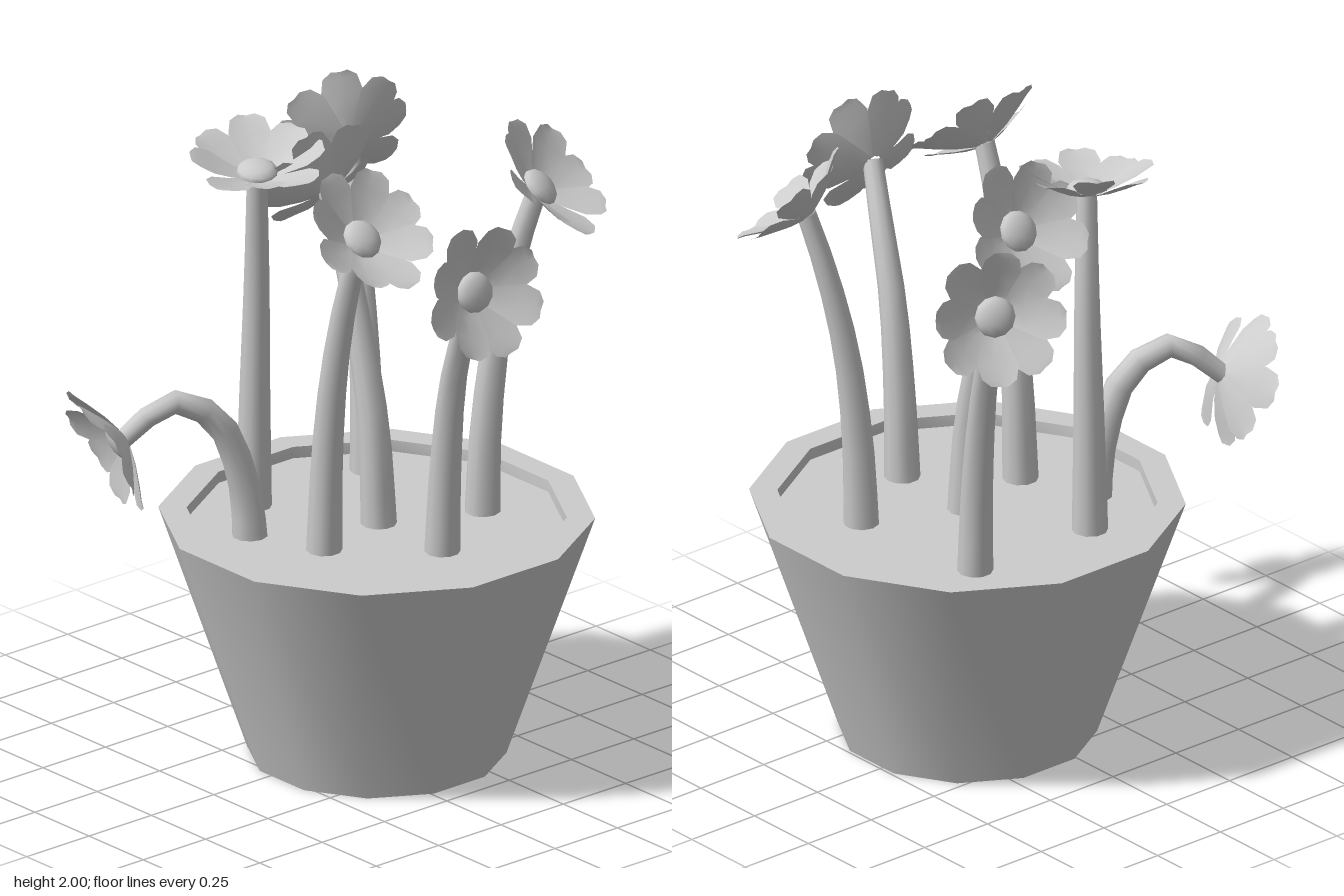
import * as THREE from 'three';
import { toCreasedNormals } from 'three/addons/utils/BufferGeometryUtils.js';

const solid = new THREE.MeshStandardMaterial({ color: 0xcccccc });
const thin = new THREE.MeshStandardMaterial({ color: 0xcccccc, side: THREE.DoubleSide });
const V = (a) => new THREE.Vector3(...a);

function mesh(name, geometry, material = solid) {
  const m = new THREE.Mesh(geometry, material);
  m.name = name;
  return m;
}

// Twelve-sided tapered pot, open underneath, with a rim and soil; flat sides face the axes
function makePot() {
  const profile = [[0.394, 0], [0.663, 0.775], [0.577, 0.775], [0.577, 0.738], [0, 0.738]]
    .map(([r, y]) => new THREE.Vector2(r, y));
  const pot = mesh('pot', toCreasedNormals(new THREE.LatheGeometry(profile, 12, Math.PI / 12), 0.7), thin);
  pot.position.set(0.05, 0, -0.11);
  return pot;
}

// Tapered stem: each ring of a tube is scaled about its own centre
function makeStem(points) {
  const rings = 8, sides = 10, curve = new THREE.CatmullRomCurve3(points.map(V));
  const geo = new THREE.TubeGeometry(curve, rings, 1, sides);
  const pos = geo.attributes.position, p = new THREE.Vector3();
  for (let i = 0; i <= rings; i++) {
    const centre = curve.getPointAt(i / rings);
    const radius = THREE.MathUtils.lerp(0.056, 0.031, i / rings);
    for (let j = 0; j <= sides; j++) {
      const k = i * (sides + 1) + j;
      p.fromBufferAttribute(pos, k).sub(centre).multiplyScalar(radius).add(centre);
      pos.setXYZ(k, p.x, p.y, p.z);
    }
  }
  return mesh('stem', geo, thin);
}

// Petal cross-sections: distance from centre, half width, height
const petalRows = [[0.02, 0.016, -0.01], [0.085, 0.042, 0.012], [0.145, 0.065, 0.04],
  [0.187, 0.054, 0.062], [0.208, 0.026, 0.07]];

function petalGeometry() {
  const vertices = [], index = [];
  petalRows.forEach(([r, w, h], i) => {
    for (let j = -1; j <= 1; j++) vertices.push(r, h + Math.abs(j) * w * 0.2, -j * w);
    if (i === 0) return;
    for (let j = 0; j < 2; j++) {
      const a = (i - 1) * 3 + j, b = i * 3 + j;
      index.push(a, b, b + 1, a, b + 1, a + 1);
    }
  });
  const geo = new THREE.BufferGeometry();
  geo.setAttribute('position', new THREE.Float32BufferAttribute(vertices, 3));
  geo.setIndex(index);
  geo.computeVertexNormals();
  return geo;
}

// Eight cupped petals, alternately raised, around a low dome
function makeHead(centre, facing) {
  const head = new THREE.Group();
  head.name = 'flowerHead';
  const petal = petalGeometry();
  for (let i = 0; i < 8; i++) {
    const m = mesh('petal', petal, thin);
    m.rotation.set(0, (i + 0.3) * Math.PI / 4, (i % 2 ? 0.05 : -0.05), 'YXZ');
    head.add(m);
  }
  const dome = mesh('flowerCentre', new THREE.SphereGeometry(0.064, 12, 4, 0, Math.PI * 2, 0, Math.PI / 2));
  dome.scale.y = 0.5;
  dome.position.y = 0.01;
  head.add(dome);
  head.position.copy(V(centre));
  head.quaternion.setFromUnitVectors(new THREE.Vector3(0, 1, 0), V(facing).normalize());
  return head;
}

// Stem path from soil to head, and the way each head faces
const flowers = [
  { facing: [-0.85, 0.3, -0.4],
    path: [[-0.29, 0.7, -0.37], [-0.31, 1.0, -0.38], [-0.37, 1.32, -0.41], [-0.45, 1.56, -0.45], [-0.52, 1.715, -0.49]] },
  { facing: [0.6, 0.7, -0.35],
    path: [[0.18, 0.7, -0.42], [0.185, 1.0, -0.43], [0.2, 1.3, -0.46], [0.235, 1.58, -0.51], [0.28, 1.785, -0.555]] },
  { facing: [-0.85, 0.5, -0.05],
    path: [[0.05, 0.7, -0.12], [0.03, 1.05, -0.115], [-0.04, 1.36, -0.115], [-0.12, 1.6, -0.12], [-0.19, 1.76, -0.12]] },
  { facing: [0.15, 0.97, 0.12],
    path: [[-0.305, 0.7, 0.075], [-0.3, 1.1, 0.075], [-0.285, 1.5, 0.08], [-0.255, 1.845, 0.105]] },
  { facing: [0.7, 0.7, 0],
    path: [[0.1, 0.7, 0.145], [0.115, 1.05, 0.145], [0.155, 1.35, 0.15], [0.21, 1.6, 0.15], [0.275, 1.805, 0.15]] },
  { facing: [0.95, 0.24, 0.08],
    path: [[0.34, 0.7, -0.12], [0.36, 1.0, -0.115], [0.41, 1.3, -0.1], [0.5, 1.53, -0.07], [0.585, 1.685, -0.03]] },
  { facing: [-0.28, -0.42, 0.85],
    path: [[-0.135, 0.7, 0.235], [-0.14, 0.9, 0.255], [-0.17, 1.13, 0.34], [-0.23, 1.205, 0.47], [-0.305, 1.095, 0.6]] },
];

export function createModel() {
  const model = new THREE.Group();
  model.name = 'pottedFlowers';
  model.add(makePot());
  for (const { path, facing } of flowers) {
    const flower = new THREE.Group();
    flower.name = 'flower';
    flower.add(makeStem(path), makeHead(path[path.length - 1], facing));
    model.add(flower);
  }
  return model;
}
